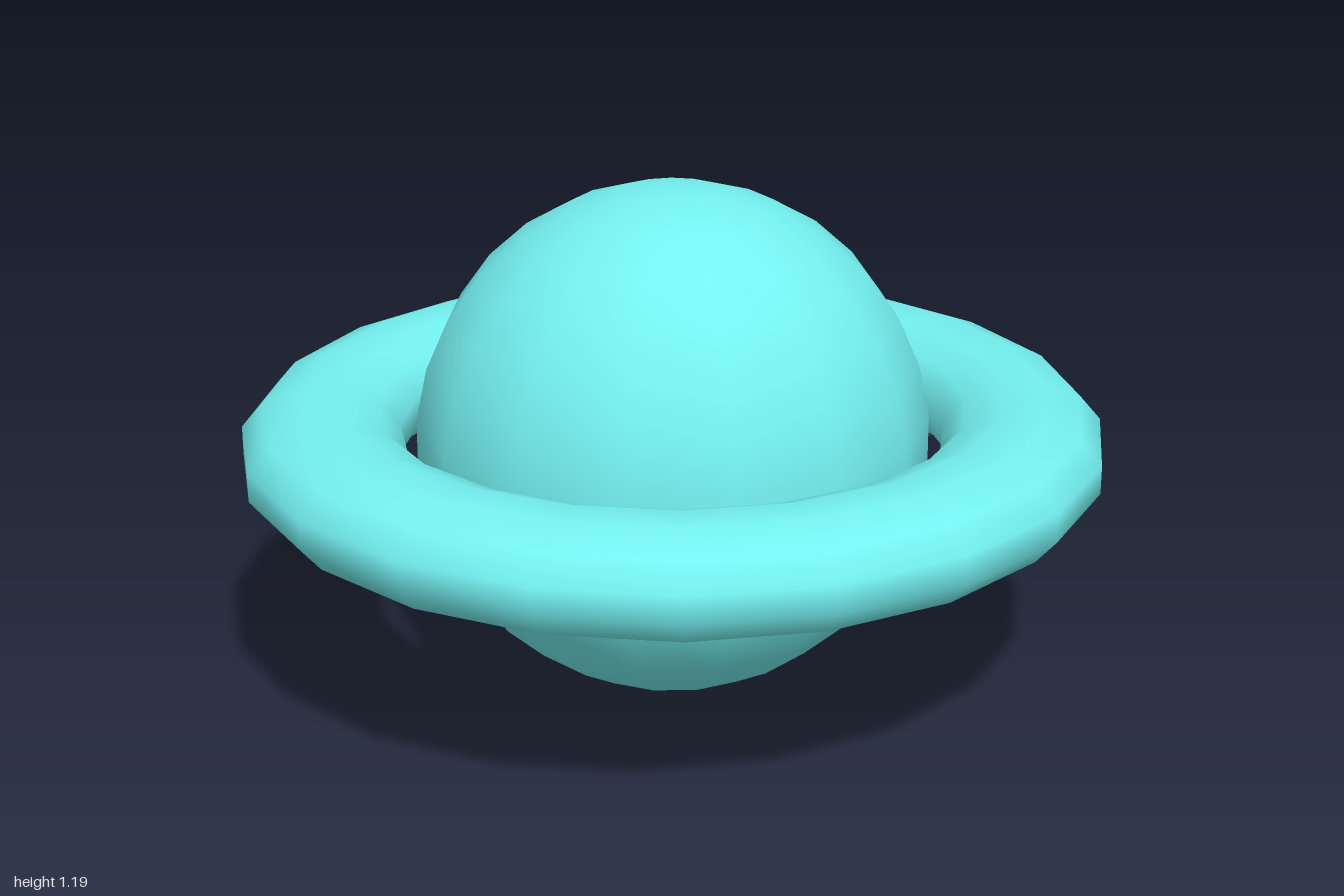
import * as THREE from 'three';
import { mergeVertices } from 'three/addons/utils/BufferGeometryUtils.js';

export function createModel() {
  const group = new THREE.Group();
  group.name = 'ringedPlanet';
  const material = new THREE.MeshStandardMaterial({ color: 0x74f0f0 });

  // Planet: low-poly ball with smooth normals, one meridian on +x
  const planet = new THREE.Mesh(new THREE.SphereGeometry(0.597, 15, 15), material);
  planet.name = 'planet';
  planet.position.y = 0.602;
  planet.rotation.y = Math.PI;
  group.add(planet);

  // Ring: flattened 12-sided section with flat top and outer edge, swept in 20 steps
  const sides = 12;
  const section = [];
  for (let i = 0; i <= sides; i++) {
    const a = (((i % sides) + 0.5) / sides) * Math.PI * 2;
    section.push(new THREE.Vector2(0.816 + 0.19 * Math.cos(a), 0.127 * Math.sin(a)));
  }
  const swept = new THREE.LatheGeometry(section, 20);
  // Weld the seams so the shading is continuous
  swept.deleteAttribute('uv');
  swept.deleteAttribute('normal');
  const ringGeometry = mergeVertices(swept, 1e-4);
  ringGeometry.computeVertexNormals();
  const ring = new THREE.Mesh(ringGeometry, material);
  ring.name = 'ring';
  ring.position.y = 0.598;
  group.add(ring);

  return group;
}
